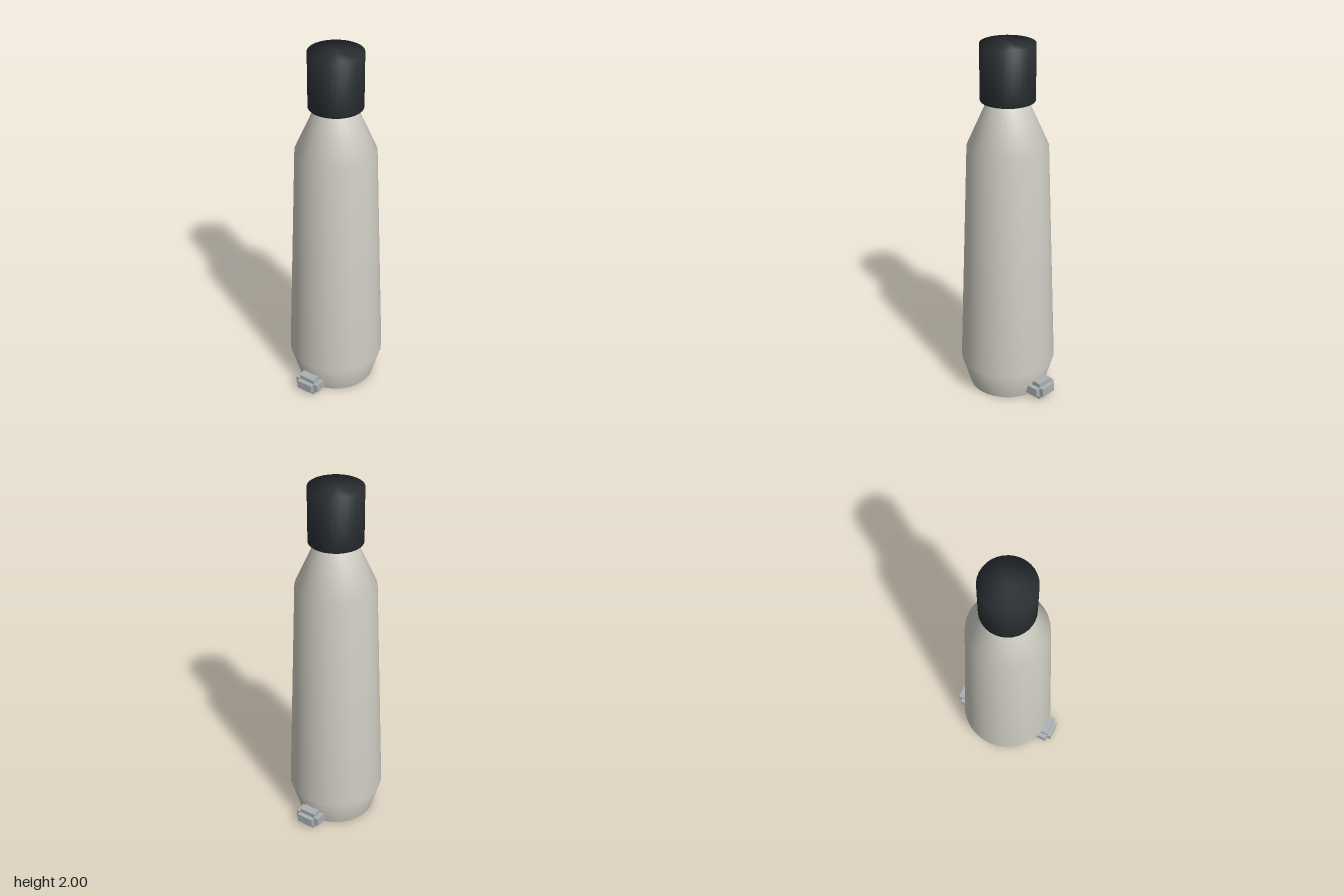
import * as THREE from 'three';
import { mergeVertices } from 'three/addons/utils/BufferGeometryUtils.js';

const paint = (color, side = THREE.FrontSide) => new THREE.MeshStandardMaterial({ color, side });

function addPart(parent, name, geometry, material, y = 0) {
  const mesh = new THREE.Mesh(geometry, material);
  mesh.name = name;
  mesh.position.y = y;
  parent.add(mesh);
  return mesh;
}

export function createModel() {
  const model = new THREE.Group();
  model.name = 'bottle';

  // Tapered shell, open at the base and the neck
  const profile = [[0.215, 0], [0.265, 0.17], [0.217, 1.45], [0.11, 1.69]]
    .map(([r, y]) => new THREE.Vector2(r, y));
  addPart(model, 'body', new THREE.LatheGeometry(profile, 32), paint(0xd0cec4, THREE.DoubleSide));

  // Closed cap with normals blended across its rims
  let cap = new THREE.CylinderGeometry(0.145, 0.145, 0.3, 32);
  cap.deleteAttribute('normal');
  cap.deleteAttribute('uv');
  cap = mergeVertices(cap);
  cap.computeVertexNormals();
  addPart(model, 'cap', cap, paint(0x2b3033), 1.85);

  // Stepped crossbar through the base, made of three crossing boxes
  const crossbar = new THREE.Group();
  crossbar.name = 'crossbar';
  const grey = paint(0xaab0b4);
  const bars = {
    crossbarLong: [0.63, 0.05, 0.095],
    crossbarWide: [0.58, 0.05, 0.145],
    crossbarTall: [0.58, 0.1, 0.095],
  };
  for (const [name, size] of Object.entries(bars)) {
    addPart(crossbar, name, new THREE.BoxGeometry(...size), grey, 0.05);
  }
  model.add(crossbar);

  return model;
}
